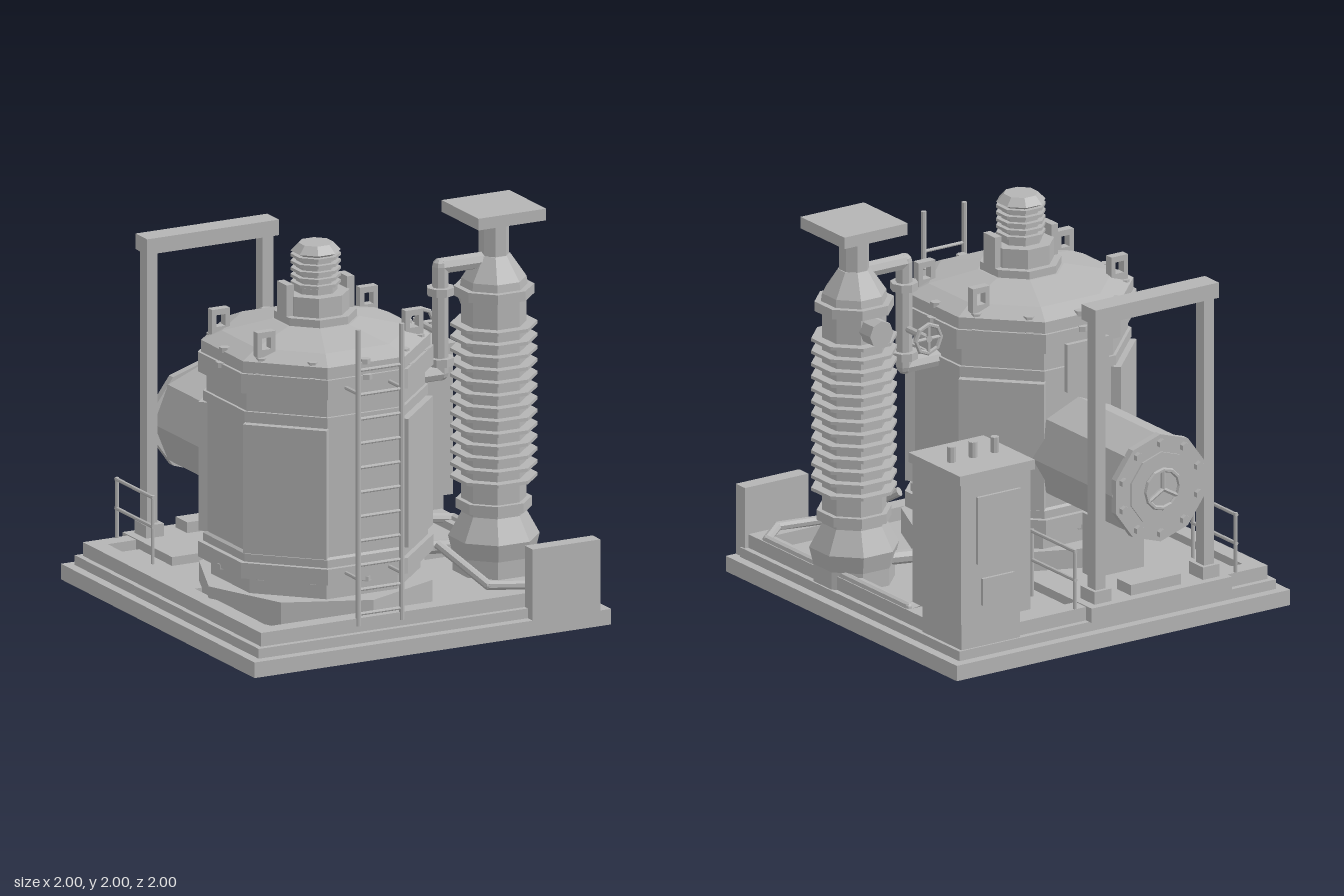
import * as THREE from 'three';

export function createModel() {
  const model = new THREE.Group();
  const steel = new THREE.MeshStandardMaterial({ color: 0xb4b4b4, flatShading: true });
  steel.name = 'grey steel';

  const add = (name, geo, x = 0, y = 0, z = 0, parent = model) => {
    const m = new THREE.Mesh(geo, steel);
    m.name = name;
    m.position.set(x, y, z);
    parent.add(m);
    return m;
  };
  // Box given by its extents
  const box = (name, x0, x1, y0, y1, z0, z1, parent) =>
    add(name, new THREE.BoxGeometry(x1 - x0, y1 - y0, z1 - z0),
      (x0 + x1) / 2, (y0 + y1) / 2, (z0 + z1) / 2, parent);
  // Eight-sided turned part from [apothem, y] pairs, flats facing the axes
  const turned = (name, profile, x, z) => {
    const k = 1 / Math.cos(Math.PI / 8);
    const pts = profile.map(([r, y]) => new THREE.Vector2(r * k, y));
    return add(name, new THREE.LatheGeometry(pts, 8).rotateY(Math.PI / 8), x, 0, z);
  };
  // Straight round bar between two points
  const bar = (name, a, b, r, sides = 8, parent = model) => {
    const p = new THREE.Vector3(...a), q = new THREE.Vector3(...b);
    const m = add(name, new THREE.CylinderGeometry(r, r, p.distanceTo(q), sides), 0, 0, 0, parent);
    m.position.copy(p).lerp(q, 0.5);
    m.quaternion.setFromUnitVectors(new THREE.Vector3(0, 1, 0), q.sub(p).normalize());
    return m;
  };
  // Pipe with sharp elbows
  const pipe = (name, pts, r) => {
    const g = new THREE.Group();
    g.name = name;
    model.add(g);
    for (let i = 0; i + 1 < pts.length; i++) {
      bar('pipeRun', pts[i], pts[i + 1], r, 8, g);
      if (i) add('pipeElbow', new THREE.SphereGeometry(r, 8, 6), ...pts[i], g);
    }
  };

  // Stepped base with a raised rim
  box('basePlinth', -1, 1, 0, 0.08, -1, 1);
  box('baseStep', -0.95, 0.95, 0.08, 0.13, -0.95, 0.95);
  for (const s of [-1, 1]) {
    add('baseRimSide', new THREE.BoxGeometry(0.09, 0.07, 1.84), s * 0.875, 0.165, 0);
    add('baseRimEnd', new THREE.BoxGeometry(1.66, 0.07, 0.09), 0, 0.165, s * 0.875);
  }
  box('floorPlate', -0.83, 0.83, 0.13, 0.16, -0.8, -0.05);
  box('rearSlab', -0.67, 0.17, 0.13, 0.205, -0.97, -0.46);

  // Main tank
  const tx = -0.25, tz = 0.25;
  add('tankFootPlate', new THREE.CylinderGeometry(0.6, 0.6, 0.13, 8), tx, 0.195, tz);
  turned('tankShell', [[0.48, 0.2], [0.48, 0.35], [0.54, 0.35], [0.54, 0.43], [0.515, 0.43],
    [0.515, 0.47], [0.5, 0.48], [0.5, 1.15], [0.515, 1.15], [0.515, 1.2], [0.5, 1.2], [0.5, 1.3],
    [0.54, 1.3], [0.54, 1.4], [0.525, 1.4], [0.525, 1.46], [0.43, 1.505], [0.2, 1.56], [0, 1.57]], tx, tz);
  for (let i = 0; i < 4; i++) {
    const a = Math.PI / 4 + i * Math.PI / 2;
    const panel = add('tankSidePanel', new THREE.BoxGeometry(0.43, 0.66, 0.05),
      tx + Math.sin(a) * 0.515, 0.81, tz + Math.cos(a) * 0.515);
    panel.rotation.y = a;
  }
  for (let i = 0; i < 12; i++) {
    const a = i * Math.PI / 6, s = Math.sin(a), c = Math.cos(a);
    for (const [y, r] of [[1.465, 0.51], [1.39, 0.53], [0.355, 0.52]])
      add('flangeBolt', new THREE.CylinderGeometry(0.028, 0.028, 0.025, 6), tx + s * r, y, tz + c * r);
  }

  // Lifting lugs: square eyes on the lid
  const lug = new THREE.Shape([[-0.05, 0], [0.05, 0], [0.05, 0.13], [-0.05, 0.13]].map(p => new THREE.Vector2(...p)));
  lug.holes.push(new THREE.Path([[-0.025, 0.04], [-0.025, 0.1], [0.025, 0.1], [0.025, 0.04]].map(p => new THREE.Vector2(...p))));
  const lugGeo = new THREE.ExtrudeGeometry(lug, { depth: 0.045, bevelEnabled: false }).translate(0, 0, -0.0225);
  for (const sx of [-1, 1]) for (const sz of [-1, 1])
    add('liftingLug', lugGeo, tx + sx * 0.415, 1.475, tz + sz * 0.235);

  // Ribbed terminal on the lid
  turned('lidCollar', [[0.19, 1.54], [0.19, 1.6], [0.155, 1.6], [0.155, 1.7], [0.08, 1.7]], tx, tz);
  for (const s of [-1, 1]) box('collarFin', tx + s * 0.17 - 0.02, tx + s * 0.17 + 0.02, 1.55, 1.76, 0.2, 0.3);
  const ribs = [[0.1, 1.7], [0.1, 1.73]];
  for (let i = 0; i < 5; i++) {
    const y = 1.735 + i * 0.035;
    ribs.push([0.09, y], [0.115, y], [0.115, y + 0.015], [0.09, y + 0.015]);
  }
  ribs.push([0.115, 1.905], [0.08, 1.945], [0, 1.945]);
  turned('lidTerminal', ribs, tx, tz);

  // Ladder
  for (const s of [-1, 1]) {
    const x = tx + s * 0.122;
    bar('ladderRail', [x, 0.16, 0.915], [x, 1.68, 0.915], 0.014);
    for (const y of [0.4, 1.35]) bar('ladderBracket', [x, y, 0.915], [x, y, 0.76], 0.01);
  }
  for (let i = 0; i < 11; i++)
    bar('ladderRung', [tx - 0.122, 0.22 + i * 0.125, 0.915], [tx + 0.122, 0.22 + i * 0.125, 0.915], 0.009);

  // Horizontal rear vessel with bolted end and handwheel
  const vy = 0.75;
  bar('rearVessel', [tx, vy, -0.1], [tx, vy, -0.93], 0.272);
  bar('vesselEndFlange', [tx, vy, -0.92], [tx, vy, -0.96], 0.28, 10);
  bar('vesselEndCover', [tx, vy, -0.95], [tx, vy, -0.97], 0.19, 10);
  for (let i = 0; i < 10; i++) {
    const a = i * Math.PI / 5, x = tx + Math.sin(a) * 0.235, y = vy + Math.cos(a) * 0.235;
    bar('vesselBolt', [x, y, -0.95], [x, y, -0.985], 0.025, 6);
  }
  add('vesselWheel', new THREE.TorusGeometry(0.1, 0.012, 6, 12), tx, vy, -0.98);
  for (let i = 0; i < 3; i++) {
    const a = i * Math.PI * 2 / 3;
    bar('vesselWheelSpoke', [tx, vy, -0.98], [tx + Math.sin(a) * 0.1, vy + Math.cos(a) * 0.1, -0.98], 0.012, 6);
  }
  box('vesselCradle', -0.4, -0.1, 0.2, 0.52, -0.6, -0.5);
  box('vesselCradle', -0.4, -0.1, 0.2, 0.26, -0.92, -0.8);

  // Gantry over the rear vessel
  box('gantryBeam', -0.62, 0.12, 1.66, 1.74, -0.93, -0.81);
  for (const s of [-1, 1]) {
    const x = tx + s * 0.325;
    box('gantryPost', x - 0.03, x + 0.03, 0.2, 1.66, -0.91, -0.84);
    box('gantryFoot', x - 0.05, x + 0.05, 0.2, 0.27, -0.93, -0.81);
  }
  for (const x of [-0.735, 0.23]) {
    for (const z of [-0.91, -0.54]) bar('handrailPost', [x, 0.15, z], [x, 0.51, z], 0.01);
    for (const y of [0.35, 0.5]) bar('handrailBar', [x, y, -0.92], [x, y, -0.53], 0.01);
  }
  // Plate standing off the tank's back
  box('tankRearPlate', -0.375, -0.125, 1.09, 1.34, -0.335, -0.31);
  bar('tankRearPlateStem', [tx, 1.22, -0.32], [tx, 1.22, -0.24], 0.015);

  // Control cabinet
  box('cabinetBase', 0.58, 0.93, 0.13, 0.28, -0.94, -0.6);
  box('cabinetBody', 0.545, 0.96, 0.28, 1.01, -0.98, -0.56);
  box('cabinetCap', 0.525, 0.975, 1.01, 1.06, -0.99, -0.545);
  box('cabinetUpperDoor', 0.61, 0.87, 0.58, 0.93, -0.995, -0.975);
  box('cabinetLowerDoor', 0.65, 0.84, 0.36, 0.5, -0.995, -0.975);
  for (const x of [0.62, 0.75, 0.88]) bar('cabinetTerminal', [x, 1.05, -0.78], [x, 1.14, -0.78], 0.022);

  // Ribbed insulator tower
  const px = 0.75, pz = 0.25;
  turned('towerFoot', [[0.19, 0.13], [0.19, 0.22], [0.21, 0.31], [0.15, 0.43], [0.15, 0.45], [0.175, 0.45],
    [0.175, 0.5], [0.15, 0.5], [0.15, 1.54], [0.185, 1.54], [0.185, 1.59], [0.155, 1.59],
    [0.15, 1.63], [0.075, 1.75], [0.07, 1.75], [0.07, 1.95]], px, pz);
  for (let i = 0; i < 13; i++)
    turned('towerRib', [[0.14, 0.603 + i * 0.065], [0.2, 0.603 + i * 0.065],
      [0.2, 0.62 + i * 0.065], [0.14, 0.62 + i * 0.065]], px, pz);
  box('towerTopPlate', 0.56, 0.94, 1.94, 2, 0.06, 0.44);
  bar('towerNozzle', [px, 1.47, 0.2], [px, 1.47, 0.01], 0.07);
  box('frontPost', 0.56, 0.94, 0.08, 0.445, 0.92, 1);

  // Connecting pipe with flanges and valve wheel
  pipe('upperPipe', [[0.72, 1.725, 0.25], [0.45, 1.725, 0.25], [0.45, 1.18, 0.25], [0.2, 1.18, 0.25]], 0.042);
  for (const y of [1.6, 1.24])
    add('pipeFlange', new THREE.CylinderGeometry(0.07, 0.07, 0.04, 8), 0.45, y, 0.25);
  add('valveWheel', new THREE.TorusGeometry(0.075, 0.012, 6, 8), 0.45, 1.38, 0.04);
  bar('valveStem', [0.45, 1.38, 0.25], [0.45, 1.38, 0.03], 0.018);
  bar('valveSpoke', [0.38, 1.38, 0.04], [0.52, 1.38, 0.04], 0.01);
  bar('valveSpoke', [0.45, 1.31, 0.04], [0.45, 1.45, 0.04], 0.01);

  // Low pipes over the base
  pipe('cableConduit', [[0.27, 0.4, 0.55], [0.42, 0.23, 0.8], [0.76, 0.215, 0.9], [0.89, 0.2, 0.8],
    [0.89, 0.2, -0.43], [0.74, 0.22, -0.43], [0.74, 0.28, -0.58]], 0.024);
  pipe('drainPipe', [[0.2, 0.385, 0.1], [0.4, 0.385, 0.08], [0.42, 0.24, 0.08], [0.65, 0.24, 0.15]], 0.035);

  return model;
}
